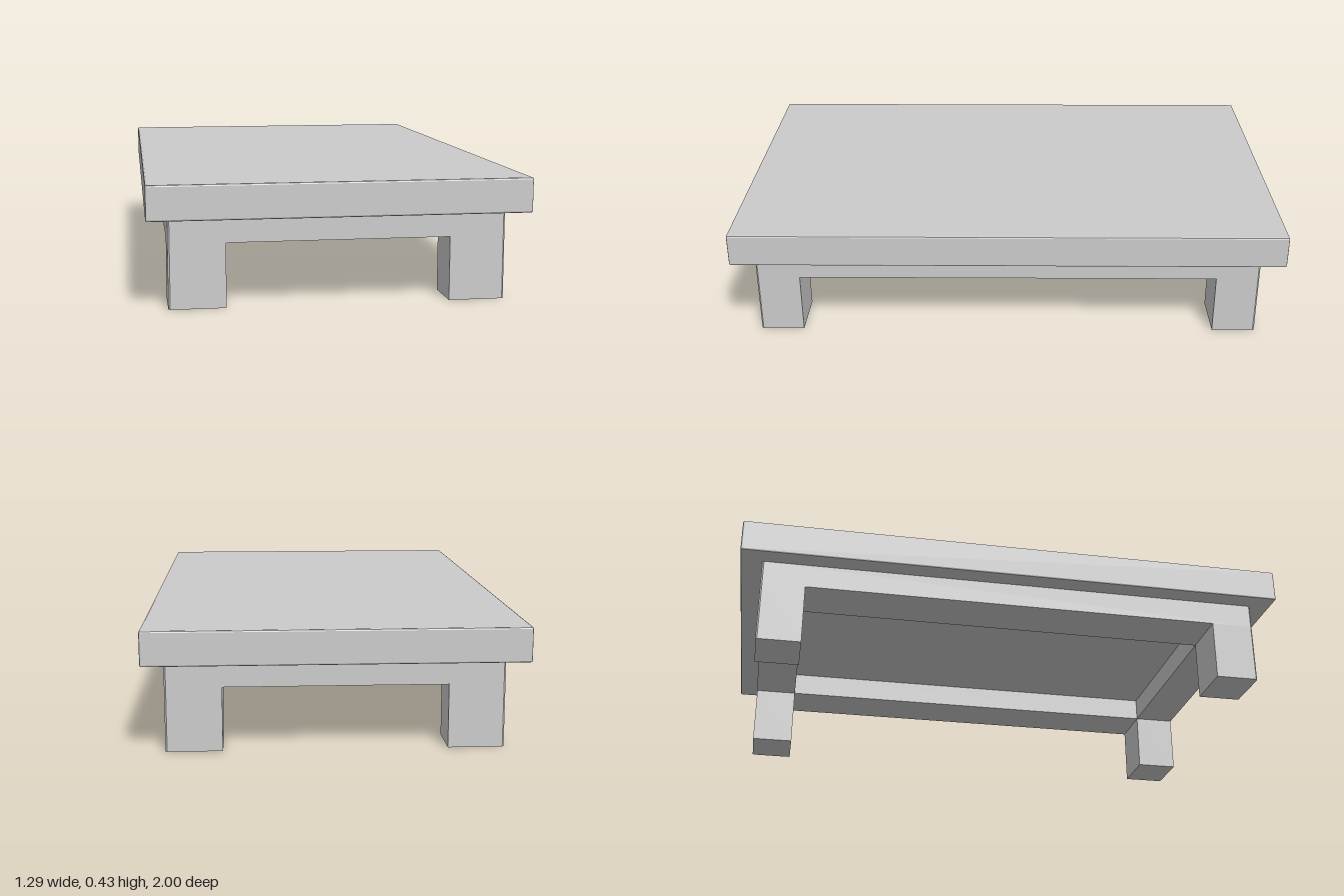
import * as THREE from 'three';
import { RoundedBoxGeometry } from 'three/addons/geometries/RoundedBoxGeometry.js';

const OUT_X = 0.572, OUT_Z = 0.923;   // outer faces of the base
const IN_X = 0.38, IN_Z = 0.765;      // inner faces of the base
const APRON_Y = 0.22, TOP_Y = 0.308, HEIGHT = 0.427;
const BEVEL = 0.006;

const material = new THREE.MeshStandardMaterial({ color: 0xcccccc });

function part(name, geometry) {
  const mesh = new THREE.Mesh(geometry, material);
  mesh.name = name;
  return mesh;
}

const outline = (points) => new THREE.Shape(points.map(([x, z]) => new THREE.Vector2(x, -z)));

// Raises a floor plan from height y0 to y1
function raise(shape, y0, y1) {
  return new THREE.ExtrudeGeometry(shape, { depth: y1 - y0, bevelEnabled: false })
    .rotateX(-Math.PI / 2)
    .translate(0, y0, 0);
}

export function createModel() {
  const model = new THREE.Group();
  model.name = 'lowTable';

  // Thick top with a fine flat chamfer on every edge
  const top = new RoundedBoxGeometry(1.286, HEIGHT - TOP_Y, 2, 1, BEVEL);
  top.computeVertexNormals();
  top.translate(0, (HEIGHT + TOP_Y) / 2, 0);
  model.add(part('tableTop', top));

  // Apron frame, open in the middle, with its outer corners bevelled
  const corners = [[1, 1], [-1, 1], [-1, -1], [1, -1]];
  const frame = outline(corners.flatMap(([sx, sz]) => {
    const pair = [
      [sx * OUT_X, sz * (OUT_Z - BEVEL)],
      [sx * (OUT_X - BEVEL), sz * OUT_Z],
    ];
    return sx * sz > 0 ? pair : pair.reverse();
  }));
  // The hole runs opposite to the outline so its walls face inwards
  const opening = corners.map(([sx, sz]) => [sx * IN_X, sz * IN_Z]).reverse();
  frame.holes.push(outline(opening));
  model.add(part('apron', raise(frame, APRON_Y, TOP_Y)));

  // Four legs flush with the frame
  for (const [sx, sz] of corners) {
    const plan = outline([
      [sx * IN_X, sz * IN_Z],
      [sx * OUT_X, sz * IN_Z],
      [sx * OUT_X, sz * (OUT_Z - BEVEL)],
      [sx * (OUT_X - BEVEL), sz * OUT_Z],
      [sx * IN_X, sz * OUT_Z],
    ]);
    const name = (sz > 0 ? 'front' : 'back') + (sx > 0 ? 'Left' : 'Right') + 'Leg';
    model.add(part(name, raise(plan, 0, APRON_Y)));
  }

  return model;
}
